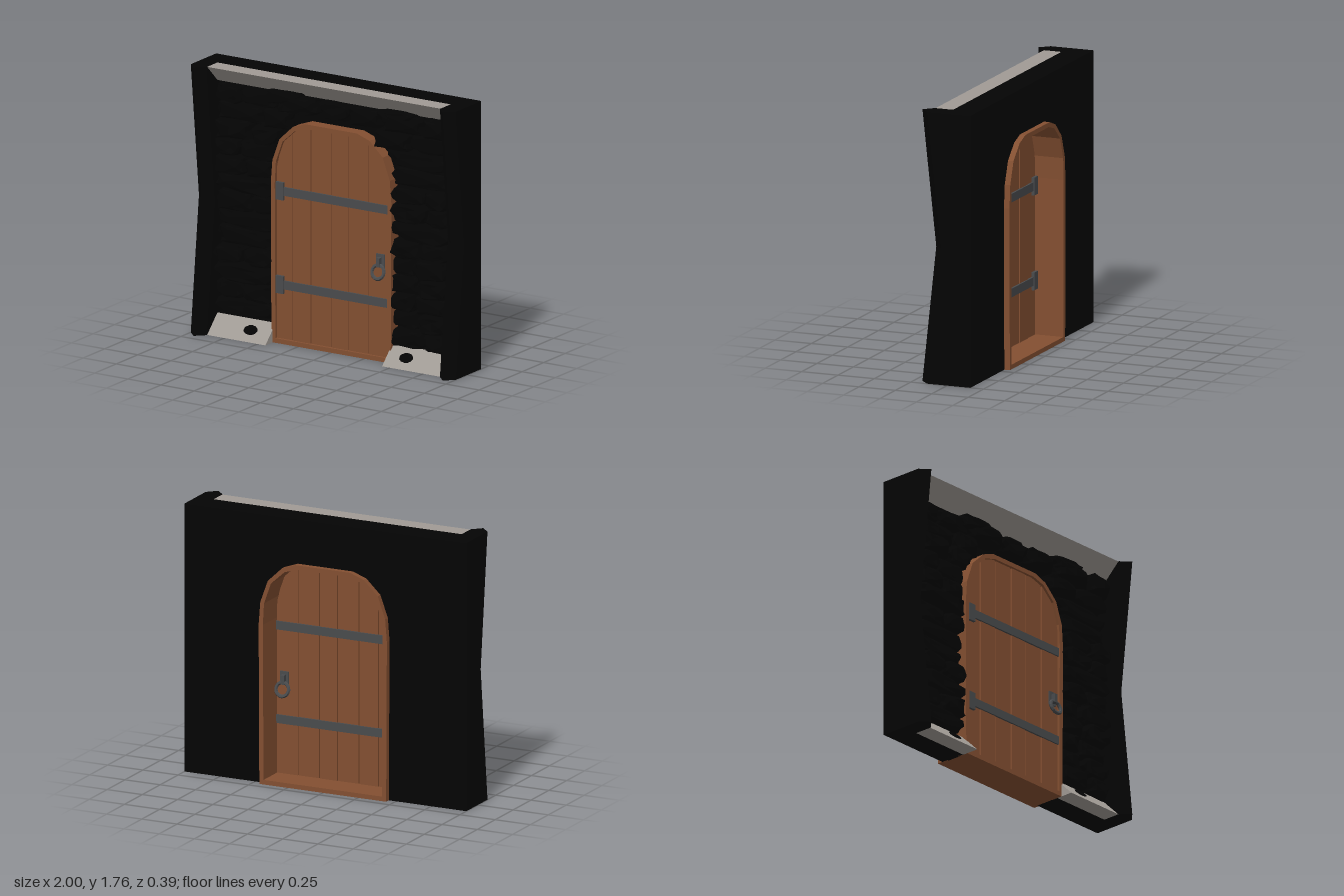
import * as THREE from 'three';
import { mergeGeometries } from 'three/addons/utils/BufferGeometryUtils.js';

const W = 1, INNER = 0.88, H = 1.765, BACK = -0.16, FRONT = 0.01;

// Right half of the arched doorway outline, bottom to top
const ARCH = [[0.45, 0], [0.455, 1.05], [0.443, 1.2], [0.39, 1.345], [0.29, 1.44], [0.195, 1.474]];

function archPoints(inset, bottom = 0) {
  const right = ARCH.map(([x, y], i) => {
    const k = i < 2 ? 0 : (i - 1) / 4;
    return new THREE.Vector2(x - inset * (1 - 0.5 * k), i === 0 ? bottom : y - inset * k);
  });
  const left = right.map((p) => new THREE.Vector2(-p.x, p.y)).reverse();
  return [...right, ...left];
}

// Height of the arch at x, and half width at y
function archHeight(x, inset) {
  const pts = archPoints(inset).slice(1, 6), a = Math.abs(x);
  if (a <= pts[4].x) return pts[4].y;
  for (let i = 0; i < 4; i++) {
    const p = pts[i], q = pts[i + 1];
    if (a <= p.x && a >= q.x) return p.y + (q.y - p.y) * (p.x - a) / (p.x - q.x);
  }
  return pts[0].y;
}
function archHalfWidth(y) {
  for (let i = 0; i < ARCH.length - 1; i++) {
    const [x0, y0] = ARCH[i], [x1, y1] = ARCH[i + 1];
    if (y <= y1) return x0 + (x1 - x0) * (y - y0) / (y1 - y0);
  }
  return 0;
}

function extrude(shape, z0, z1) {
  const g = new THREE.ExtrudeGeometry(shape, { depth: z1 - z0, bevelEnabled: false });
  return g.translate(0, 0, z0);
}

function block(x0, x1, y0, y1, z0, z1) {
  return new THREE.BoxGeometry(x1 - x0, y1 - y0, z1 - z0)
    .translate((x0 + x1) / 2, (y0 + y1) / 2, (z0 + z1) / 2);
}

// Closed prism through equal-sized rings of points
function loft(rings) {
  const v = [], n = rings[0].length;
  const tri = (a, b, c) => v.push(...a, ...b, ...c);
  for (let r = 0; r < rings.length - 1; r++) {
    for (let i = 0; i < n; i++) {
      const j = (i + 1) % n, a = rings[r], b = rings[r + 1];
      tri(a[i], b[i], b[j]);
      tri(a[i], b[j], a[j]);
    }
  }
  const lo = rings[0], hi = rings[rings.length - 1];
  for (let i = 1; i < n - 1; i++) {
    tri(lo[0], lo[i], lo[i + 1]);
    tri(hi[0], hi[i + 1], hi[i]);
  }
  const g = new THREE.BufferGeometry();
  g.setAttribute('position', new THREE.Float32BufferAttribute(v, 3));
  g.computeVertexNormals();
  return g;
}

// Triangular bar along x with its cross-section given as [z, y] points
function wedge(x0, x1, section) {
  return loft([x0, x1].map((x) => section.map(([z, y]) => [x, y, z])));
}

let seed = 7;
const rand = () => (seed = (seed * 16807) % 2147483647) / 2147483647;

// Lumpy, squarish boulder
function stone(x, y, z, hw, hh, hd) {
  const g = new THREE.IcosahedronGeometry(1, 2), p = g.attributes.position;
  const s = rand() * 20, sq = (c) => Math.sign(c) * Math.pow(Math.abs(c), 0.55);
  for (let i = 0; i < p.count; i++) {
    const a = p.getX(i), b = p.getY(i), c = p.getZ(i);
    const k = 1 + 0.1 * Math.sin(4 * a + s) * Math.sin(5 * b + 2 * s) + 0.05 * Math.sin(9 * c + 7 * a + s);
    p.setXYZ(i, sq(a) * hw * k, sq(b) * hh * k, sq(c) * hd * k);
  }
  g.rotateZ((rand() - 0.5) * 0.12).translate(x, y, z);
  g.computeVertexNormals();
  return g;
}

export function createModel() {
  const group = new THREE.Group();
  const material = (name, color) => {
    const m = new THREE.MeshStandardMaterial({ color, flatShading: true });
    m.name = name;
    return m;
  };
  const dark = material('dark stone', 0x040404);
  const pale = material('pale stone', 0xa09a94);
  const wood = material('brown wood', 0x834f31);
  const iron = material('grey iron', 0x494b4d);
  const add = (name, geometry, mat, parent = group) => {
    const m = new THREE.Mesh(geometry, mat);
    m.name = name;
    parent.add(m);
    return m;
  };

  // Wall slab with the doorway cut out of the bottom edge, and a thicker top course
  const opening = archPoints(0.012).reverse();
  const wall = new THREE.Shape([
    new THREE.Vector2(-INNER, 0), ...opening, new THREE.Vector2(INNER, 0),
    new THREE.Vector2(INNER, H), new THREE.Vector2(-INNER, H),
  ]);
  add('wall', extrude(wall, BACK, -0.04), dark);
  add('topCourse', block(-INNER, INNER, 1.65, H, -0.05, FRONT), dark);

  // Side posts with a pointed front that narrows at mid height
  for (const side of [-1, 1]) {
    const c = side * (W + INNER) / 2, h = (W - INNER) / 2;
    const ring = ([y, f]) => [
      [c - h, y, BACK], [c + h, y, BACK], [c + h, y, f], [c, y, f + 0.06], [c - h, y, f],
    ];
    add('sidePost', loft([[0, 0.135], [H / 2, 0.04], [H, 0.135]].map(ring)), dark);
  }

  // Sloped lintel along the top and sloped plinths beside the door
  add('topLintel', wedge(-INNER, INNER, [[0.13, H], [FRONT, H], [FRONT, 1.65]]), pale);
  for (const side of [-1, 1]) {
    const [a, b] = [side * 0.44, side * INNER].sort((m, n) => m - n);
    add('plinth', wedge(a, b, [[0.13, 0], [FRONT, 0.12], [FRONT, 0]]), pale);
    add('bottomCourse', block(a, b, 0, 0.12, -0.05, FRONT), dark);
    // Stone poking through the slope
    const patch = new THREE.SphereGeometry(1, 9, 6).scale(0.052, 0.036, 0.009);
    add('plinthStone', patch.rotateX(-Math.PI / 4).translate(side * 0.587, 0.065, 0.075), dark);
  }

  // Rows of rough stones around the doorway, some standing proud
  const stones = [];
  const fillRow = (x0, x1, y0, y1) => {
    const n = Math.max(1, Math.round((x1 - x0) / 0.25 + (rand() - 0.5) * 0.9));
    const cuts = [x0];
    for (let i = 1; i < n; i++) cuts.push(x0 + (x1 - x0) * (i + (rand() - 0.5) * 0.6) / n);
    cuts.push(x1);
    for (let i = 0; i < n; i++) {
      const hw = (cuts[i + 1] - cuts[i]) / 2, hh = (y1 - y0) / 2;
      stones.push(stone((cuts[i] + cuts[i + 1]) / 2, (y0 + y1) / 2 + (rand() - 0.5) * 0.012, -0.02,
        hw, hh * (0.98 + rand() * 0.18), 0.055 + rand() * 0.06));
    }
  };
  const rows = 13, rowHeight = (1.645 - 0.12) / rows;
  for (let r = 0; r < rows; r++) {
    const y0 = 0.12 + r * rowHeight, y1 = y0 + rowHeight;
    const edge = archHalfWidth(y0);
    if (edge > 0) {
      fillRow(-INNER, -edge, y0, y1);
      fillRow(edge, INNER, y0, y1);
    } else fillRow(-INNER, INNER, y0, y1);
  }
  for (const x of [-0.35, 0.49]) stones.push(stone(x, 1.625, 0.01, 0.14, 0.045, 0.07));
  add('wallStones', mergeGeometries(stones), dark);

  // Door frame: deep arch with a sill
  const frame = new THREE.Shape(archPoints(0));
  frame.holes.push(new THREE.Path(archPoints(0.03, 0.03).reverse()));
  add('doorFrame', extrude(frame, -0.198, 0.045), wood);

  // Door: thin core with six planks on it
  const door = new THREE.Group();
  door.name = 'door';
  group.add(door);
  add('doorCore', extrude(new THREE.Shape(archPoints(0.028, 0.02)), 0.006, 0.018), wood, door);
  const seams = [-0.425, -0.3, -0.16, -0.01, 0.12, 0.27, 0.425];
  for (let i = 0; i < 6; i++) {
    const x0 = seams[i] + 0.004, x1 = seams[i + 1] - 0.004;
    const pts = [new THREE.Vector2(x0, 0.028), new THREE.Vector2(x1, 0.028)];
    for (let k = 6; k >= 0; k--) {
      const x = x0 + (x1 - x0) * k / 6;
      pts.push(new THREE.Vector2(x, archHeight(x, 0.028)));
    }
    const lift = (i % 2) * 0.003;
    add('plank', extrude(new THREE.Shape(pts), -0.004 - lift, 0.026 + lift), wood, door);
  }

  // Iron straps, hinge plates and ring handles on both faces
  const box = (name, x0, x1, y0, y1, z, depth) =>
    add(name, block(x0, x1, y0, y1, z - depth / 2, z + depth / 2), iron, door);
  for (const [z, dir] of [[0.032, 1], [-0.01, -1]]) {
    for (const y of [0.387, 1.003]) {
      box('strap', -0.42, 0.425, y - 0.028, y + 0.028, z, 0.014);
      box('hingePlate', -0.42, -0.362, y - 0.058, y + 0.058, z + dir * 0.003, 0.02);
    }
    box('handlePlate', 0.335, 0.397, 0.615, 0.705, z, 0.012);
    box('handleStaple', 0.354, 0.378, 0.625, 0.685, z + dir * 0.018, 0.034);
    const ring = new THREE.TorusGeometry(0.045, 0.012, 6, 16);
    add('handleRing', ring.rotateX(-dir * 0.25).translate(0.366, 0.593, z + dir * 0.032), iron, door);
  }
  return group;
}
